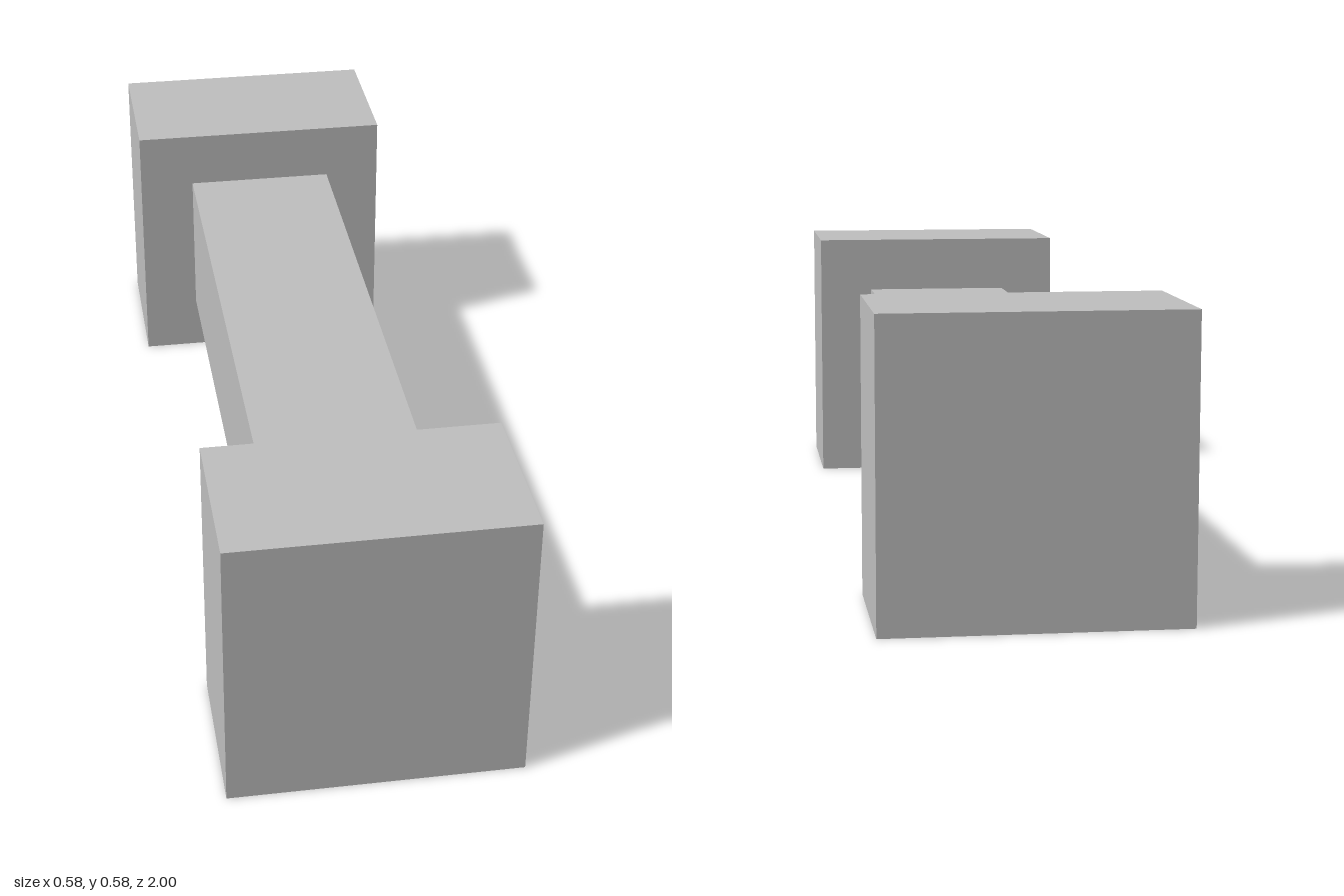
import * as THREE from 'three';

export function createModel() {
  const model = new THREE.Group();
  model.name = 'dumbbell';

  const grey = new THREE.MeshStandardMaterial({ color: 0xc0c0c0 });
  grey.name = 'light grey';

  const endSize = 0.584, endDepth = 0.333, barSize = 0.333;

  function addBox(name, width, height, depth, z) {
    const mesh = new THREE.Mesh(new THREE.BoxGeometry(width, height, depth), grey);
    mesh.name = name;
    mesh.position.set(0, endSize / 2, z);
    model.add(mesh);
  }

  // Square bar between the two end blocks
  addBox('bar', barSize, barSize, 2 - 2 * endDepth, 0);

  // Matching end blocks
  for (const [name, side] of [['frontBlock', 1], ['backBlock', -1]]) {
    addBox(name, endSize, endSize, endDepth, side * (1 - endDepth / 2));
  }

  return model;
}
